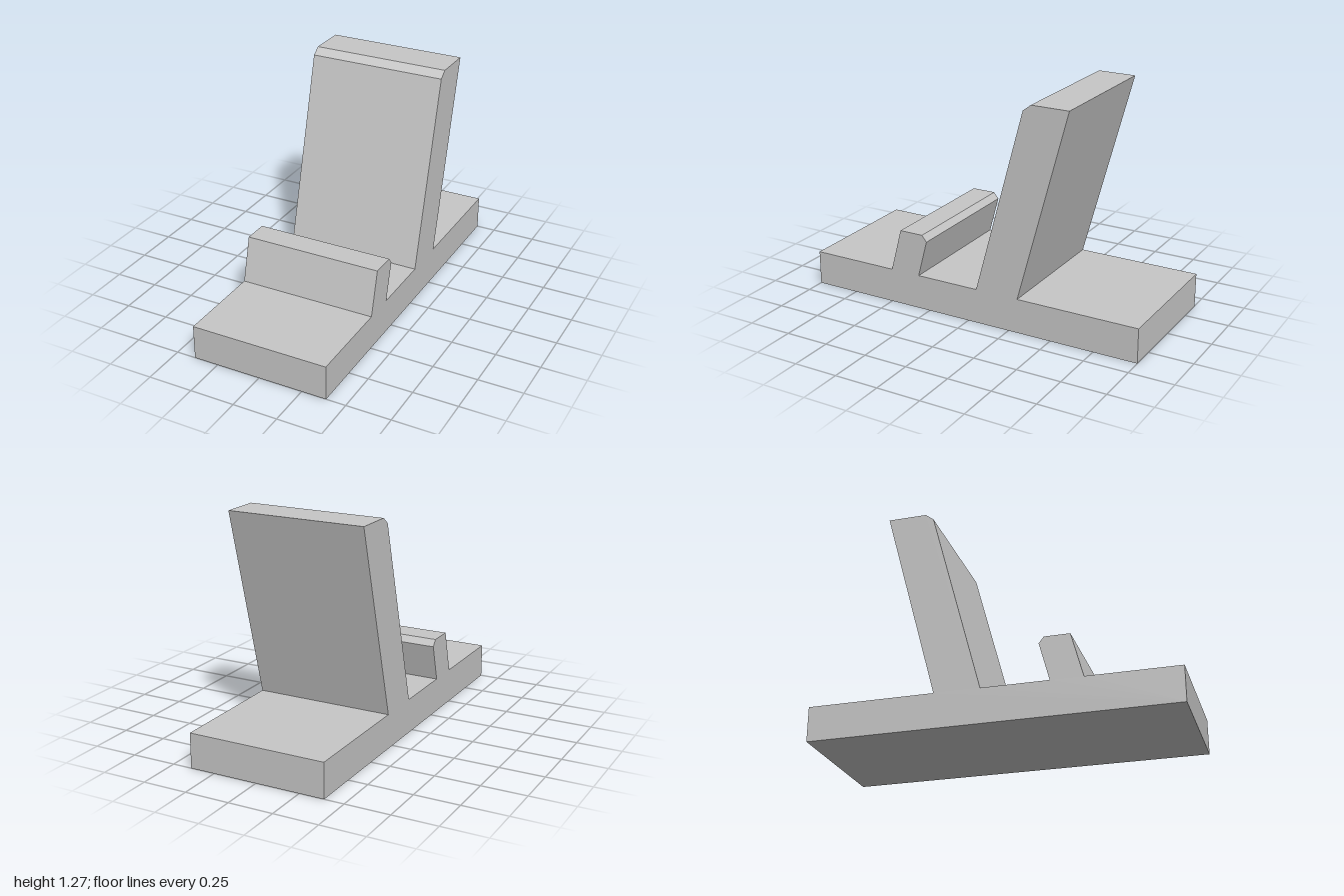
import * as THREE from 'three';

const WIDTH = 0.78;
const DECK = 0.195; // height of the base's top face

// Side profile as [z, y], running round from the bottom front corner
const base = { front: [[1, 0], [1, DECK]], rear: [[-1, DECK], [-1, 0]] };
const frontLip = [[0.495, DECK], [0.43, 0.44], [0.29, 0.44], [0.262, 0.405], [0.318, DECK]];
const backRest = [[-0.05, DECK], [-0.33, 1.235], [-0.375, 1.27], [-0.59, 1.27], [-0.302, DECK]];

export function createModel() {
  const grey = new THREE.MeshStandardMaterial({ color: 0xc6c6c6 });
  grey.name = 'light grey';

  // Base, lip and back rest are one solid, extruded across the width
  const outline = [...base.front, ...frontLip, ...backRest, ...base.rear];
  const shape = new THREE.Shape(outline.map(([z, y]) => new THREE.Vector2(z, y)));
  const geometry = new THREE.ExtrudeGeometry(shape, { depth: WIDTH, bevelEnabled: false });
  geometry.translate(0, 0, -WIDTH / 2);
  geometry.rotateY(-Math.PI / 2); // profile's x becomes z

  const stand = new THREE.Mesh(geometry, grey);
  stand.name = 'standBody';

  const group = new THREE.Group();
  group.name = 'deviceStand';
  group.add(stand);
  return group;
}
